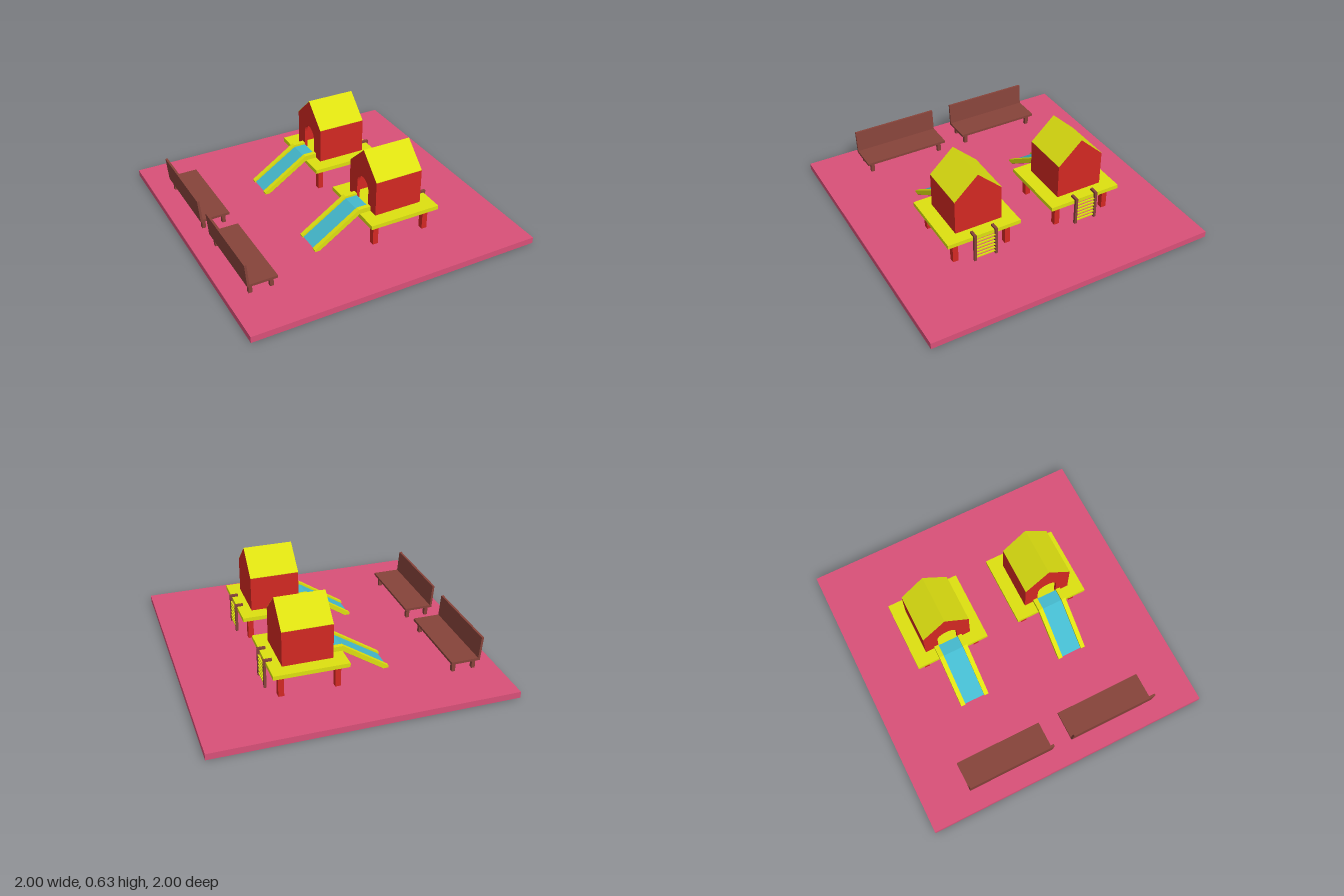
import * as THREE from 'three';

const mat = (color) => new THREE.MeshStandardMaterial({ color });
const PINK = mat(0xd85078), YELLOW = mat(0xdde010), RED = mat(0xd22822), BLUE = mat(0x44b8cc), BROWN = mat(0x86433a);
const GROUND = 0.043;

function add(parent, name, geometry, material) {
  const mesh = new THREE.Mesh(geometry, material);
  mesh.name = name;
  parent.add(mesh);
  return mesh;
}

// Box given by its min and max on each axis
function box(parent, name, material, x0, x1, y0, y1, z0, z1) {
  const g = new THREE.BoxGeometry(x1 - x0, y1 - y0, z1 - z0);
  g.translate((x0 + x1) / 2, (y0 + y1) / 2, (z0 + z1) / 2);
  return add(parent, name, g, material);
}

const outline = (pts) => new THREE.Shape(pts.map(([x, y]) => new THREE.Vector2(x, y)));

// Side profile (x, y) extruded between two z values
function sideProfile(parent, name, material, pts, z0, z1) {
  const g = new THREE.ExtrudeGeometry(outline(pts), { depth: z1 - z0, bevelEnabled: false });
  return add(parent, name, g.translate(0, 0, z0), material);
}

// End profile (z, y) extruded between two x values
function endProfile(parent, name, material, shape, x0, x1) {
  const g = new THREE.ExtrudeGeometry(shape, { depth: x1 - x0, bevelEnabled: false, curveSegments: 10 });
  return add(parent, name, g.rotateY(Math.PI / 2).translate(x0, 0, 0), material);
}

function makeHouse() {
  const house = new THREE.Group();
  house.name = 'house';
  const x0 = 0.08, x1 = 0.415, w = 0.165, t = 0.02, base = 0.232, eave = 0.472, ridge = 0.627;
  const gable = () => outline([[-w, base], [w, base], [w, eave], [0, ridge], [-w, eave]]);

  // Doorway wall with a round-topped opening
  const r = 0.07, spring = 0.36;
  const doorway = outline([
    [-w, base], [-r, base], [-r, spring],
    ...Array.from({ length: 11 }, (_, i) => {
      const a = Math.PI * (1 - (i + 1) / 12);
      return [r * Math.cos(a), spring + r * Math.sin(a)];
    }),
    [r, spring], [r, base], [w, base], [w, eave], [0, ridge], [-w, eave],
  ]);
  endProfile(house, 'doorwayWall', RED, doorway, x0, x0 + t);
  endProfile(house, 'endWall', RED, gable(), x1 - t, x1);
  for (const s of [-1, 1]) {
    box(house, 'sideWall', RED, x0 + t, x1 - t, base, eave - 0.003, s < 0 ? -w : w - t, s < 0 ? -w + t : w);
  }
  // Red roof lining under a thin yellow covering
  const chevron = (top, bottom) => outline([
    [-w, eave + bottom], [0, ridge + bottom], [w, eave + bottom],
    [w, eave + top], [0, ridge + top], [-w, eave + top],
  ]);
  endProfile(house, 'roofLining', RED, chevron(0, -0.02), x0 + t, x1 - t);
  endProfile(house, 'roof', YELLOW, chevron(0.003, 0), x0, x1);
  return house;
}

function makeSlide() {
  const slide = new THREE.Group();
  slide.name = 'slide';
  const rail = [[-0.322, 0.056], [-0.005, 0.265], [0.08, 0.265], [0.08, 0.23], [0, 0.23], [-0.285, GROUND], [-0.32, GROUND]];
  for (const z of [-0.103, 0.072]) sideProfile(slide, 'slideRail', YELLOW, rail, z, z + 0.031);
  const bed = [[-0.314, 0.048], [-0.003, 0.25], [0.08, 0.25], [0.08, 0.236], [0, 0.236], [-0.296, GROUND]];
  sideProfile(slide, 'slideBed', BLUE, bed, -0.072, 0.072);
  // Underside board
  sideProfile(slide, 'slideUnderside', PINK, [[-0.284, GROUND], [-0.003, 0.229], [-0.003, 0.226], [-0.28, GROUND]], -0.102, 0.102);
  return slide;
}

function makeLadder() {
  const ladder = new THREE.Group();
  ladder.name = 'ladder';
  const upright = [[0.455, 0.23], [0.495, 0.23], [0.495, GROUND], [0.512, GROUND], [0.512, 0.246], [0.455, 0.246]];
  for (const s of [-1, 1]) sideProfile(ladder, 'ladderUpright', BROWN, upright, s * 0.075 - 0.009, s * 0.075 + 0.009);
  for (let i = 0; i < 6; i++) {
    const y = 0.062 + i * 0.026;
    box(ladder, 'rung', YELLOW, 0.499, 0.509, y, y + 0.009, -0.067, 0.067);
  }
  return ladder;
}

function makePlayhouse() {
  const g = new THREE.Group();
  g.name = 'playhouse';
  box(g, 'platform', YELLOW, 0, 0.497, 0.204, 0.232, -0.258, 0.258);
  for (const x of [0.062, 0.434]) {
    for (const z of [-0.187, 0.187]) {
      box(g, 'platformLeg', RED, x - 0.019, x + 0.019, GROUND, 0.204, z - 0.019, z + 0.019);
    }
  }
  g.add(makeHouse(), makeSlide(), makeLadder());
  return g;
}

function makeBench() {
  const g = new THREE.Group();
  g.name = 'bench';
  const h = 0.303;
  box(g, 'seat', BROWN, -0.872, -0.672, 0.113, 0.13, -h, h);
  sideProfile(g, 'backrest', BROWN, [[-0.872, 0.113], [-0.857, 0.113], [-0.871, 0.278], [-0.886, 0.278]], -h, h);
  for (const x of [-0.843, -0.702]) {
    for (const z of [-0.263, 0.263]) {
      box(g, 'benchLeg', BROWN, x - 0.012, x + 0.012, GROUND, 0.113, z - 0.013, z + 0.013);
    }
  }
  return g;
}

export function createModel() {
  const model = new THREE.Group();
  model.name = 'playground';
  box(model, 'ground', PINK, -1, 1, 0, GROUND, -1, 1);
  for (const z of [0.372, -0.378]) {
    const playhouse = makePlayhouse();
    playhouse.position.z = z;
    const bench = makeBench();
    bench.position.z = z;
    model.add(playhouse, bench);
  }
  return model;
}
